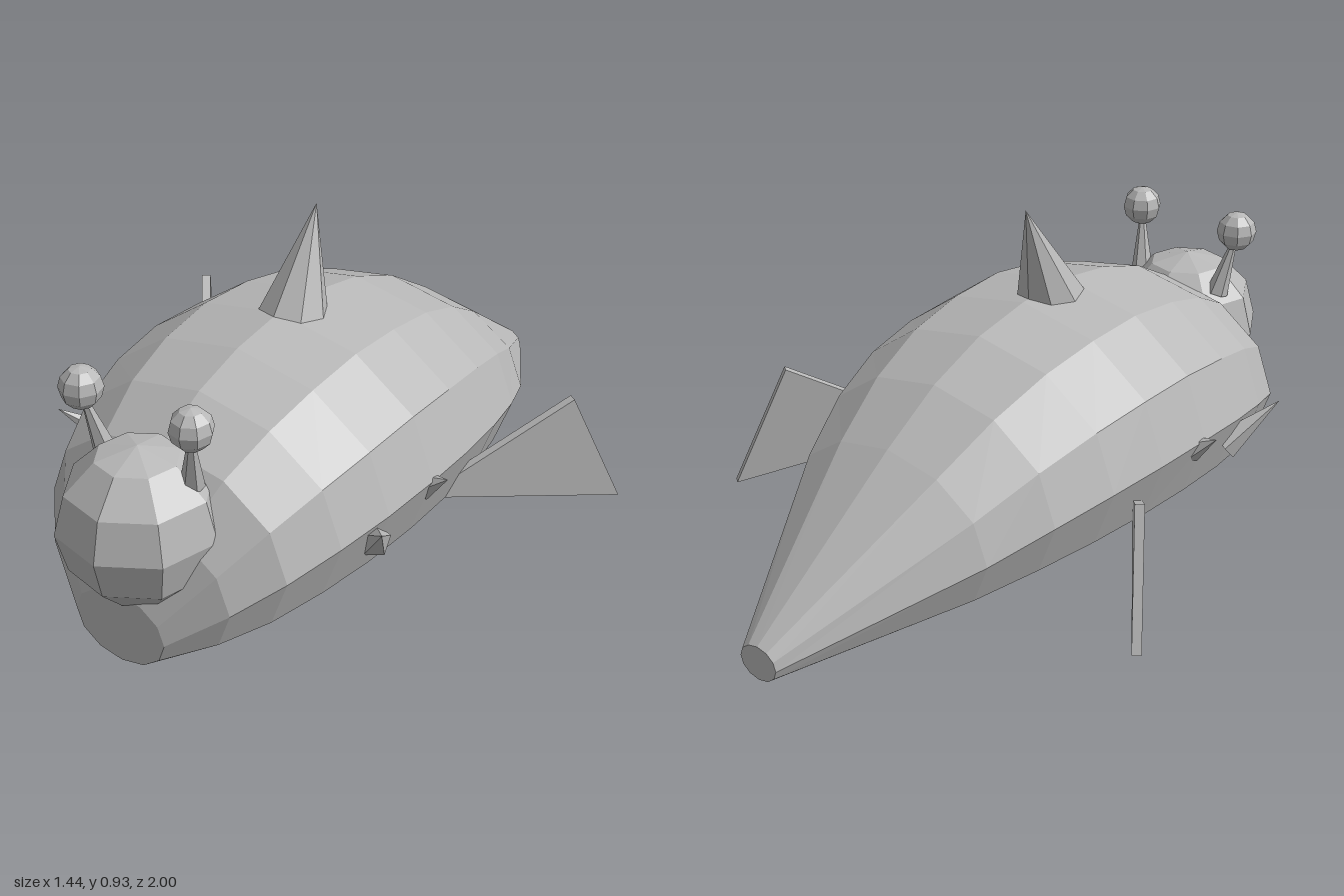
import * as THREE from 'three';

const grey = new THREE.MeshStandardMaterial({ color: 0xb8b8b8, flatShading: true });
grey.name = 'plain grey';

function part(name, geometry, parent) {
  const mesh = new THREE.Mesh(geometry, grey);
  mesh.name = name;
  parent.add(mesh);
  return mesh;
}

// Straight taper running from a base point to a tip point
function taper(name, parent, from, to, baseRadius, tipRadius, sides) {
  const a = new THREE.Vector3(...from), b = new THREE.Vector3(...to);
  const dir = b.clone().sub(a);
  const mesh = part(name, new THREE.CylinderGeometry(tipRadius, baseRadius, dir.length(), sides), parent);
  mesh.position.copy(a).add(b).multiplyScalar(0.5);
  mesh.quaternion.setFromUnitVectors(new THREE.Vector3(0, 1, 0), dir.normalize());
  return mesh;
}

// Twelve-sided rings that all rest on the ground: [z, half width, height]
function bodyGeometry() {
  const rings = [
    [-1, 0.062, 0.095], [-0.52, 0.33, 0.445], [-0.34, 0.402, 0.56],
    [-0.16, 0.45, 0.635], [0.02, 0.474, 0.672], [0.2, 0.48, 0.685],
    [0.38, 0.465, 0.662], [0.54, 0.43, 0.615], [0.69, 0.373, 0.535],
    [0.8, 0.28, 0.4], [0.885, 0.14, 0.205],
  ];
  const sides = 12, points = [], index = [];
  for (const [z, w, h] of rings) {
    for (let j = 0; j < sides; j++) {
      const t = (j / sides) * Math.PI * 2;
      points.push(w * Math.cos(t), (h / 2) * (1 + Math.sin(t)), z);
    }
  }
  const last = (rings.length - 1) * sides;
  for (let i = 0; i < last; i += sides) {
    for (let j = 0; j < sides; j++) {
      const k = (j + 1) % sides;
      index.push(i + j, i + k, i + sides + j, i + k, i + sides + k, i + sides + j);
    }
  }
  // flat end caps
  for (let j = 1; j < sides - 1; j++) {
    index.push(0, j + 1, j, last, last + j, last + j + 1);
  }
  const g = new THREE.BufferGeometry();
  g.setAttribute('position', new THREE.Float32BufferAttribute(points, 3));
  g.setIndex(index);
  const flat = g.toNonIndexed();
  flat.computeVertexNormals();
  return flat;
}

// Thin triangular fin, growing outwards along +x
function finGeometry() {
  const shape = new THREE.Shape([
    new THREE.Vector2(0, 0), new THREE.Vector2(0.585, -0.115), new THREE.Vector2(0.43, 0.222),
  ]);
  const g = new THREE.ExtrudeGeometry(shape, { depth: 0.025, bevelEnabled: false });
  return g.translate(0, 0, -0.0125);
}

export function createModel() {
  const model = new THREE.Group();
  model.name = 'finnedSlug';

  part('body', bodyGeometry(), model);

  const head = part('head', new THREE.SphereGeometry(0.217, 8, 6), model);
  head.position.set(0, 0.367, 0.784);
  head.rotation.y = 0.14;

  taper('backHorn', model, [0, 0.635, 0.14], [0, 0.93, 0.03], 0.1, 0, 8);

  for (const s of [1, -1]) {
    const side = new THREE.Group();
    side.name = s > 0 ? 'leftSide' : 'rightSide';
    model.add(side);

    // eye on a stalk
    taper('eyeStalk', side, [s * 0.135, 0.5, 0.745], [s * 0.167, 0.67, 0.783], 0.032, 0.006, 6);
    const eye = part('eye', new THREE.SphereGeometry(0.057, 8, 6), side);
    eye.position.set(s * 0.169, 0.69, 0.783);
    eye.rotation.y = s * 0.14;

    // side spikes
    taper('frontSpike', side, [s * 0.42, 0.24, 0.38], [s * 0.52, 0.362, 0.5], 0.045, 0, 5);
    taper('rearSpike', side, [s * 0.44, 0.31, 0.185], [s * 0.52, 0.36, 0.195], 0.04, 0, 5);

    // swept-back fin
    const fin = part('fin', finGeometry(), side);
    fin.position.set(s * 0.36, 0.18, 0.065);
    fin.rotation.y = s > 0 ? 0.93 : Math.PI - 0.93;
  }
  return model;
}
